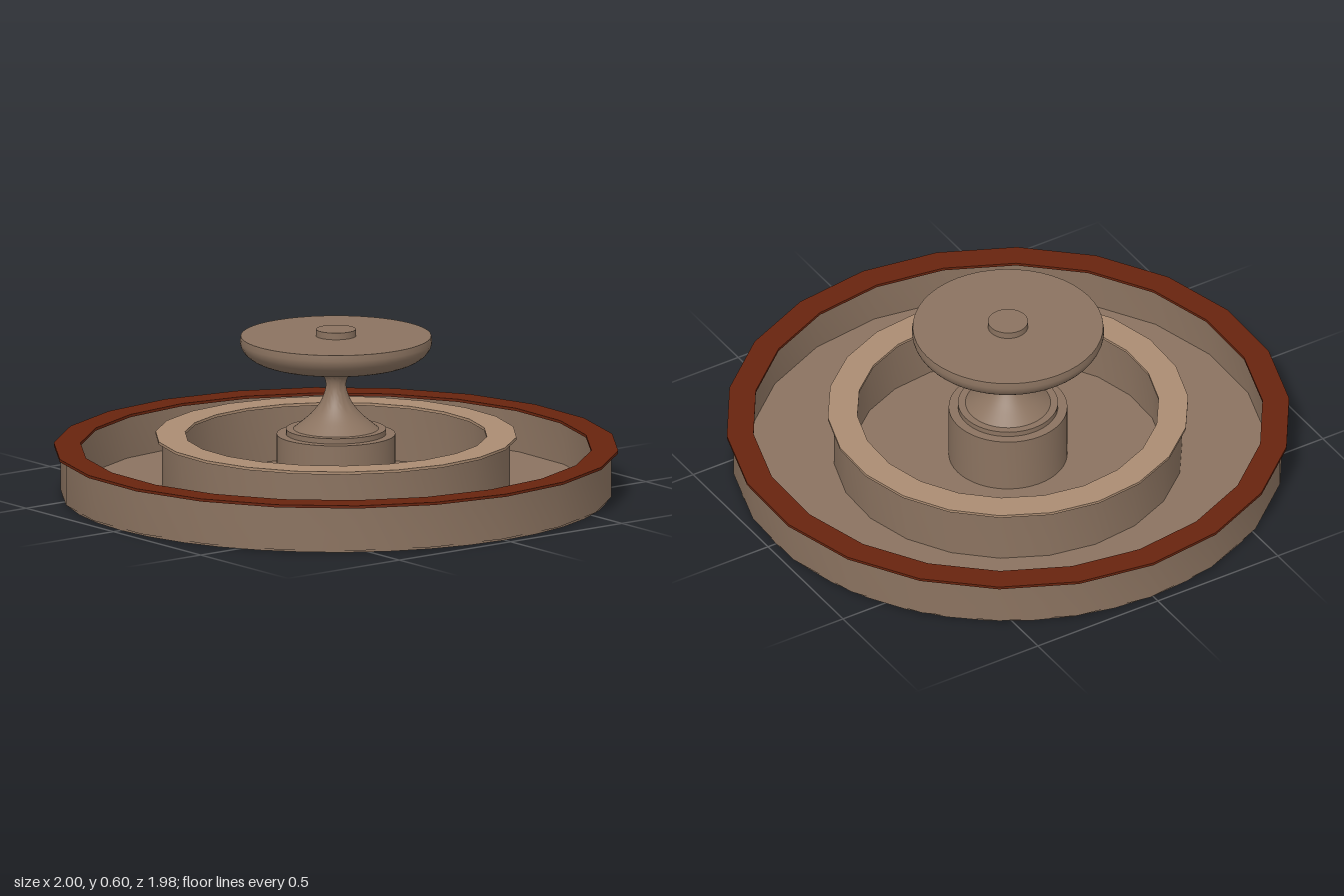
import * as THREE from 'three';
import { toCreasedNormals } from 'three/addons/utils/BufferGeometryUtils.js';

const material = (color) => new THREE.MeshStandardMaterial({ color });

export function createModel() {
  const group = new THREE.Group();
  group.name = 'fountain';
  const stone = material(0x8b7360);
  const paleStone = material(0xab8c72);
  const redStone = material(0x68240e);

  // Spin a profile (listed upwards on its outer side), keeping hard corners sharp
  function turned(name, profile, sides, mat, phase = 0) {
    const points = profile.map(([r, y]) => new THREE.Vector2(r, y));
    const geometry = new THREE.LatheGeometry(points, sides, phase);
    const mesh = new THREE.Mesh(toCreasedNormals(geometry, 0.6), mat);
    mesh.name = name;
    group.add(mesh);
  }

  // Closed band with a rectangular section
  function band(name, outer, inner, y0, y1, mat, phase) {
    const profile = [[outer, y0], [outer, y1], [inner, y1], [inner, y0], [outer, y0]];
    turned(name, profile, 22, mat, phase);
  }

  // Solid round disc
  function disc(name, r, y0, y1, sides) {
    turned(name, [[0, y0], [r, y0], [r, y1], [0, y1]], sides, stone);
  }

  // Outer pool
  disc('poolFloor', 0.967, 0, 0.015, 40);
  band('poolWall', 0.977, 0.92, 0.008, 0.166, stone, 0.124);
  band('poolRim', 1.0, 0.905, 0.165, 0.175, redStone, 0.124);

  // Inner pool
  band('innerWall', 0.618, 0.55, 0.01, 0.211, stone, 0.11);
  band('innerRim', 0.64, 0.535, 0.21, 0.22, paleStone, 0.11);

  // Pedestal
  disc('pedestal', 0.21, 0.01, 0.222, 48);
  disc('pedestalStep', 0.177, 0.22, 0.241, 48);

  // Waisted stem
  const stemCurve = new THREE.SplineCurve([
    [0.152, 0.24], [0.125, 0.262], [0.09, 0.293], [0.058, 0.333], [0.04, 0.375],
    [0.036, 0.405], [0.044, 0.43], [0.065, 0.452], [0.097, 0.477],
  ].map(([r, y]) => new THREE.Vector2(r, y)));
  turned('stem', stemCurve.getPoints(24).map((p) => [p.x, p.y]), 48, stone);

  // Upper basin with a rounded underside
  const basinCurve = new THREE.CubicBezierCurve(
    new THREE.Vector2(0.225, 0.476), new THREE.Vector2(0.29, 0.482),
    new THREE.Vector2(0.338, 0.515), new THREE.Vector2(0.34, 0.555));
  const basin = [[0, 0.476], ...basinCurve.getPoints(12).map((p) => [p.x, p.y]),
    [0.337, 0.576], [0, 0.576]];
  turned('upperBasin', basin, 48, stone);
  disc('spout', 0.071, 0.57, 0.6, 32);

  return group;
}
